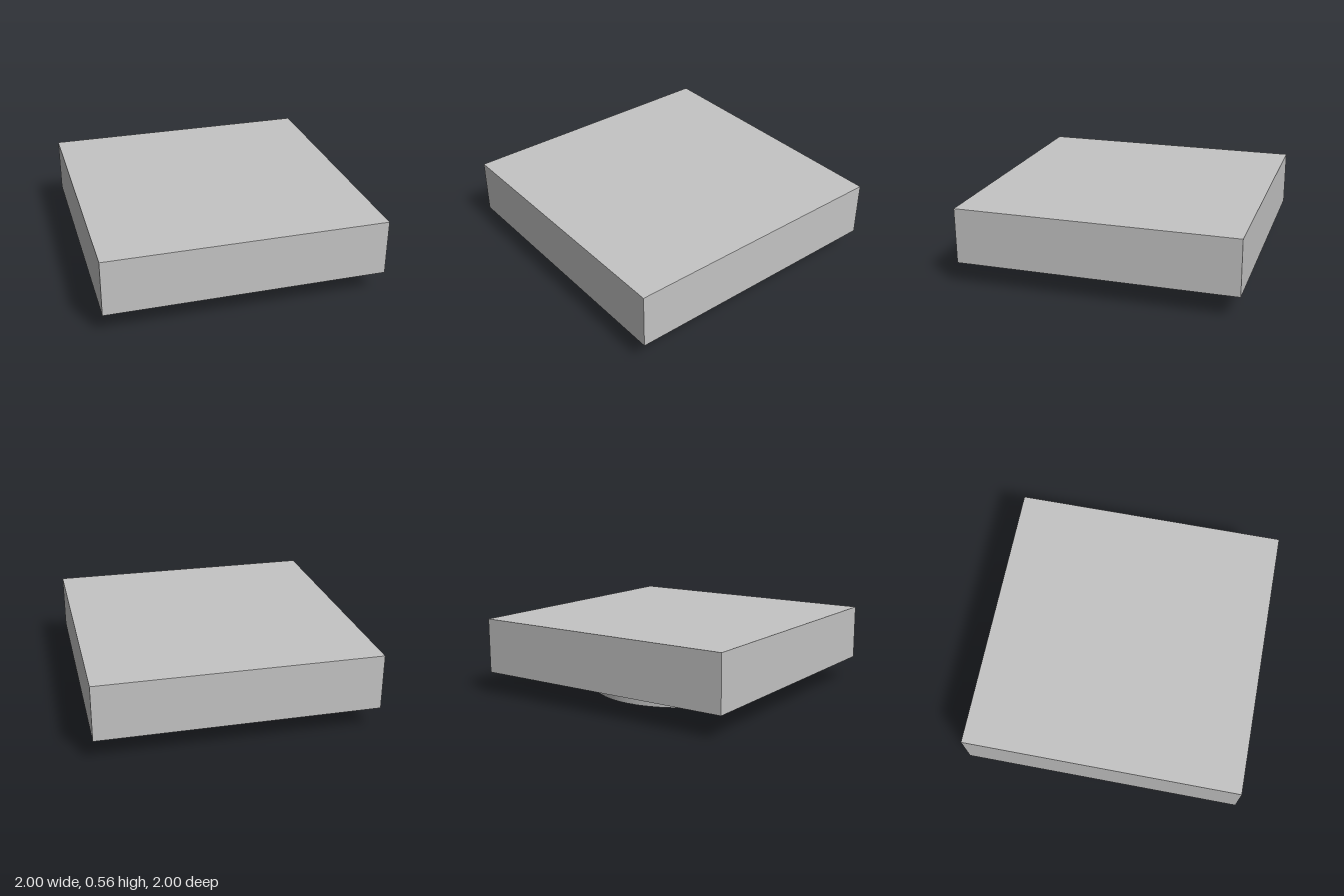
import * as THREE from 'three';
import { toCreasedNormals } from 'three/addons/utils/BufferGeometryUtils.js';

const RING_H = 0.165, POCKET = 0.1, TOP = 0.565;

// Bracket-shaped pocket outline; s = 1 or -1 picks the front or back side
function pocketPath(s) {
  const p = new THREE.Path();
  const outX = 0.75, inX = 0.5, outZ = 0.86, midZ = 0.75, endZ = 0.53, r = 0.12;
  const mid = (outX + inX) / 2;
  p.moveTo(-outX + r, s * outZ);
  p.lineTo(outX - r, s * outZ);
  p.quadraticCurveTo(outX - 0.01, s * (outZ - 0.01), outX, s * (outZ - r));
  p.lineTo(outX, s * (endZ + r));
  p.bezierCurveTo(outX, s * (endZ + 0.04), mid + 0.07, s * endZ, mid, s * endZ);
  p.bezierCurveTo(mid - 0.07, s * endZ, inX, s * (endZ + 0.04), inX, s * (endZ + r));
  p.quadraticCurveTo(inX - 0.01, s * midZ, inX - r, s * midZ);
  p.lineTo(-inX + r, s * midZ);
  p.quadraticCurveTo(-inX + 0.01, s * midZ, -inX, s * (endZ + r));
  p.bezierCurveTo(-inX, s * (endZ + 0.04), -mid + 0.07, s * endZ, -mid, s * endZ);
  p.bezierCurveTo(-mid - 0.07, s * endZ, -outX, s * (endZ + 0.04), -outX, s * (endZ + r));
  p.lineTo(-outX, s * (outZ - r));
  p.quadraticCurveTo(-outX + 0.01, s * (outZ - 0.01), -outX + r, s * outZ);
  return p;
}

// Extrudes a plan shape (x, z) upright between two heights
function slab(name, shape, y0, y1, material, curveSegments) {
  const geo = new THREE.ExtrudeGeometry(shape, { depth: y1 - y0, bevelEnabled: false, curveSegments });
  geo.rotateX(Math.PI / 2);
  geo.translate(0, y1, 0);
  const mesh = new THREE.Mesh(toCreasedNormals(geo, 0.6), material);
  mesh.name = name;
  return mesh;
}

export function createModel() {
  const group = new THREE.Group();
  group.name = 'squarePlateWithRing';
  const grey = new THREE.MeshStandardMaterial({ color: 0xc4c4c4 });
  grey.name = 'light grey';

  // Solid upper part of the plate, its underside is the pocket floor
  const split = RING_H + POCKET;
  const plate = new THREE.Mesh(new THREE.BoxGeometry(2, TOP - split, 2), grey);
  plate.name = 'plateTop';
  plate.position.y = (TOP + split) / 2;
  group.add(plate);

  // Lower layer of the plate with two mirrored pockets
  const square = new THREE.Shape([[-1, -1], [1, -1], [1, 1], [-1, 1]].map(([x, z]) => new THREE.Vector2(x, z)));
  for (const s of [1, -1]) square.holes.push(pocketPath(s));
  group.add(slab('pocketedUnderside', square, RING_H, split, grey, 10));

  // Round locating ring below the plate
  const disc = new THREE.Shape().absarc(0, 0, 0.64, 0, Math.PI * 2, false);
  disc.holes.push(new THREE.Path().absarc(0, 0, 0.56, 0, Math.PI * 2, true));
  group.add(slab('ring', disc, 0, RING_H, grey, 24));

  return group;
}
